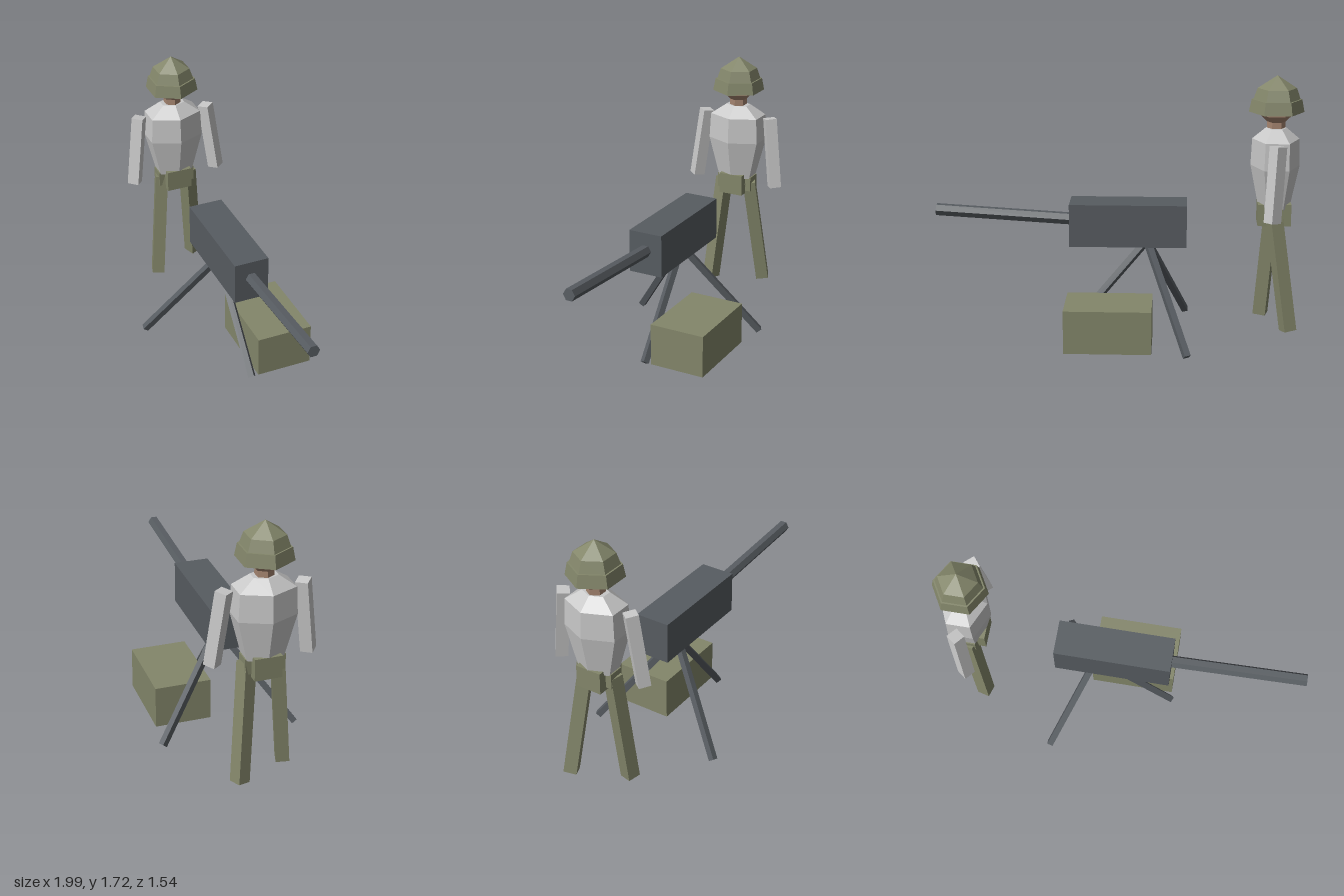
import * as THREE from 'three';

const mat = (name, hex) => {
  const m = new THREE.MeshStandardMaterial({ color: hex });
  m.name = name;
  return m;
};

// faceted mesh: split faces so that every one gets its own normal
function part(name, geometry, material, parent) {
  const g = geometry.index ? geometry.toNonIndexed() : geometry;
  g.computeVertexNormals();
  const mesh = new THREE.Mesh(g, material);
  mesh.name = name;
  parent.add(mesh);
  return mesh;
}

function box(name, size, pos, material, parent) {
  const m = part(name, new THREE.BoxGeometry(...size), material, parent);
  m.position.set(...pos);
  return m;
}

// bar running between two points; sides = 4 gives a square beam of the given width
function bar(name, from, to, width, sides, material, parent) {
  const a = new THREE.Vector3(...from), b = new THREE.Vector3(...to);
  const len = a.distanceTo(b);
  const geo = sides === 4
    ? new THREE.BoxGeometry(width, len, width)
    : new THREE.CylinderGeometry(width / 2, width / 2, len, sides);
  const m = part(name, geo, material, parent);
  m.position.copy(a).add(b).multiplyScalar(0.5);
  m.quaternion.setFromUnitVectors(new THREE.Vector3(0, 1, 0), b.sub(a).normalize());
  return m;
}

// six-sided turned form, profile from bottom to top, one corner facing forward
function hexForm(name, profile, material, parent, widen = 1) {
  const geo = new THREE.LatheGeometry(profile.map(p => new THREE.Vector2(...p)), 6);
  geo.scale(widen, 1, 1);
  return part(name, geo, material, parent);
}

export function createModel() {
  const olive = mat('olive', 0x83866a);
  const metal = mat('gunmetal', 0x575c61);
  const shirt = mat('light grey cloth', 0xc8c8c8);
  const skin = mat('skin', 0xa58570);
  const model = new THREE.Group();
  model.name = 'gunnerAndMountedGun';
  const yaw = -0.614;

  // gun receiver and barrel, local +x forward
  const gun = new THREE.Group();
  gun.name = 'gun';
  gun.position.set(-0.04, 0, 0.027);
  gun.rotation.y = yaw;
  model.add(gun);
  box('receiver', [0.746, 0.275, 0.226], [0, 0.767, 0], metal, gun);
  bar('barrel', [0.36, 0.785, 0], [1.235, 0.838, 0], 0.08, 6, metal, gun);

  // tripod
  const feet = [[-0.605, 0.02, 0.185], [0.28, 0.02, 0.255], [-0.1, 0.02, -0.55]];
  for (const foot of feet) bar('tripodLeg', [-0.145, 0.64, -0.03], foot, 0.04, 4, metal, model);

  // ammunition crate
  box('crate', [0.552, 0.28, 0.37], [0.188, 0.16, -0.093], olive, model).rotation.y = yaw;

  // standing figure, local +z forward
  const figure = new THREE.Group();
  figure.name = 'figure';
  figure.position.set(-0.8, 0, -0.5);
  figure.rotation.y = Math.PI / 2 + yaw;
  model.add(figure);
  hexForm('torso', [[0, 0.88], [0.1, 0.88], [0.155, 1.15], [0.148, 1.32], [0.065, 1.39], [0, 1.39]], shirt, figure, 1.33);
  hexForm('neck', [[0, 1.37], [0.057, 1.37], [0.057, 1.47], [0, 1.47]], skin, figure);
  hexForm('head', [[0, 1.43], [0.06, 1.43], [0.1, 1.47], [0.105, 1.58], [0, 1.58]], skin, figure);
  hexForm('helmetBrim', [[0, 1.49], [0.173, 1.49], [0.157, 1.57], [0, 1.575]], olive, figure);
  hexForm('helmetCrown', [[0, 1.56], [0.15, 1.56], [0.122, 1.64], [0, 1.72]], olive, figure);

  // hips
  box('hips', [0.25, 0.1, 0.1], [0, 0.84, 0], olive, figure);
  box('trouserFront', [0.17, 0.14, 0.21], [0, 0.84, 0], olive, figure);

  // arms hang outward, legs stand in a slight stride
  for (const s of [1, -1]) {
    const side = s > 0 ? 'left' : 'right';
    bar(side + 'Arm', [s * 0.238, 1.32, 0], [s * 0.297, 0.85, 0.028], 0.076, 4, shirt, figure);
    bar(side + 'Leg', [s * 0.095, 0.85, 0.005], [s * 0.165, 0.105, s > 0 ? -0.1 : 0.058], 0.083, 4, olive, figure);
  }
  return model;
}
